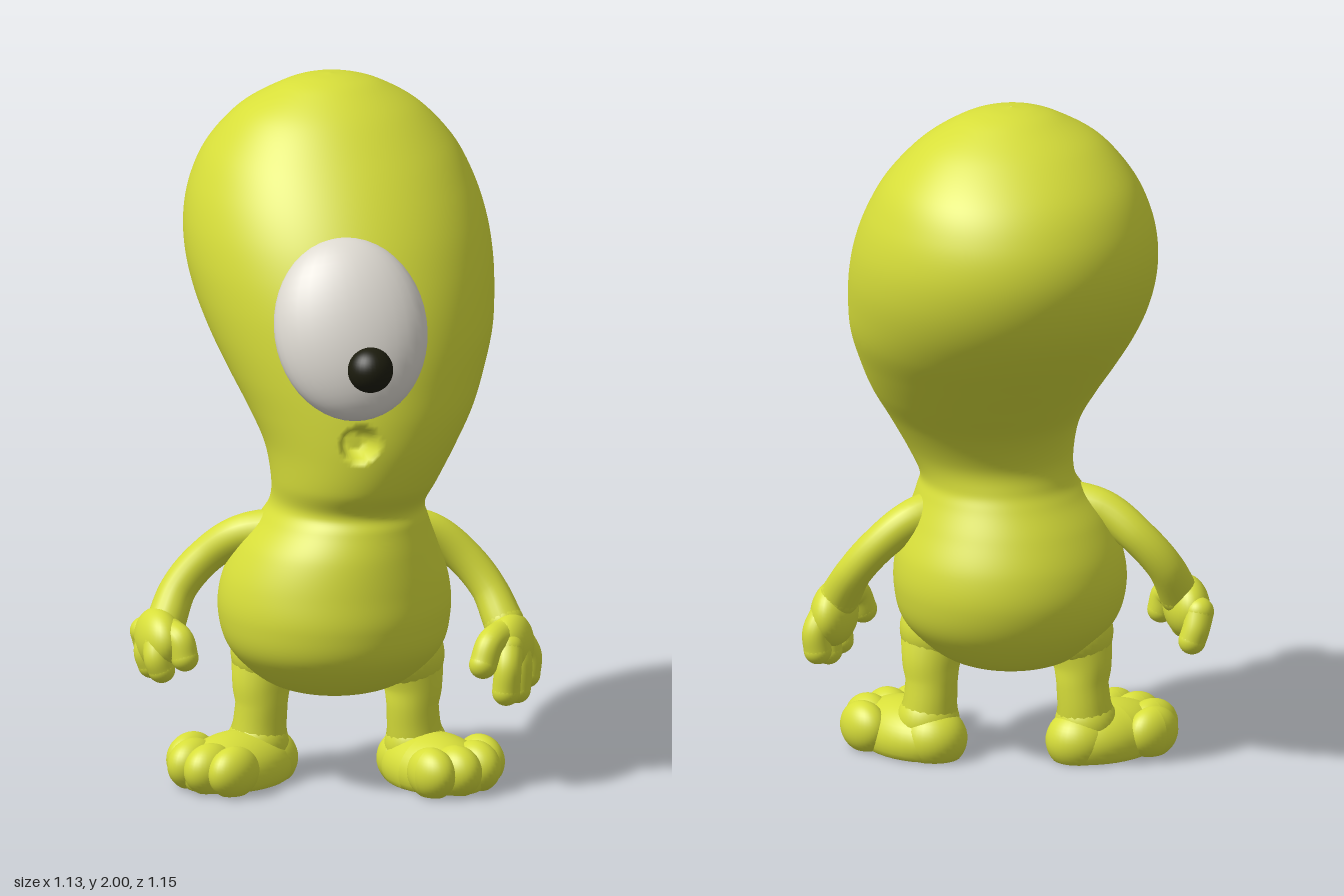
import * as THREE from 'three';

const V = (x, y, z) => new THREE.Vector3(x, y, z);

export function createModel() {
  const model = new THREE.Group();
  const skin = new THREE.MeshStandardMaterial({ color: 0xd7de3a });
  skin.name = 'yellow green skin';
  const white = new THREE.MeshStandardMaterial({ color: 0xdedad2 });
  white.name = 'eye white';
  const black = new THREE.MeshStandardMaterial({ color: 0x1c1c0e });
  black.name = 'pupil black';

  const add = (parent, name, geometry, material = skin) => {
    const mesh = new THREE.Mesh(geometry, material);
    mesh.name = name;
    parent.add(mesh);
    return mesh;
  };

  // Ellipsoid, optionally flattened where it would pass below the floor
  const ellipsoid = (x, y, z, rx, ry, rz, floor = false) => {
    const g = new THREE.SphereGeometry(1, 32, 24).scale(rx, ry, rz).translate(x, y, z);
    if (floor) {
      const p = g.attributes.position;
      for (let i = 0; i < p.count; i++) p.setY(i, Math.max(0, p.getY(i)));
      g.computeVertexNormals();
    }
    return g;
  };

  // Limb through [x, y, z, radius] points, with round ends
  const limb = (parent, name, points) => {
    const group = new THREE.Group();
    group.name = name;
    parent.add(group);
    const curve = new THREE.CatmullRomCurve3(points.map(([x, y, z]) => V(x, y, z)));
    const seg = 28, sides = 20, n = points.length - 1;
    const g = new THREE.TubeGeometry(curve, seg, 1, sides);
    const p = g.attributes.position, v = V(0, 0, 0);
    for (let i = 0; i < p.count; i++) {
      const u = Math.floor(i / (sides + 1)) / seg;
      const t = curve.getUtoTmapping(u) * n, k = Math.min(Math.floor(t), n - 1);
      const r = THREE.MathUtils.lerp(points[k][3], points[k + 1][3], t - k);
      const c = curve.getPointAt(u);
      v.fromBufferAttribute(p, i).sub(c).multiplyScalar(r).add(c);
      p.setXYZ(i, v.x, v.y, v.z);
    }
    add(group, name + 'Shaft', g);
    for (const [x, y, z, r] of [points[0], points[n]]) add(group, name + 'End', ellipsoid(x, y, z, r, r, r));
  };

  // Head and body: one loft of level ellipses, [y, xMin, xMax, zMin, zMax]
  const rows = [
    [0.262, -0.011, -0.009, 0.129, 0.131], [0.272, -0.11, 0.09, 0.03, 0.23],
    [0.31, -0.215, 0.195, -0.075, 0.345], [0.4, -0.31, 0.29, -0.16, 0.44],
    [0.5, -0.34, 0.32, -0.197, 0.465], [0.6, -0.33, 0.315, -0.19, 0.457],
    [0.7, -0.285, 0.28, -0.15, 0.44], [0.78, -0.225, 0.25, -0.105, 0.415],
    [0.83, -0.197, 0.24, -0.082, 0.4], [0.9, -0.2, 0.268, -0.077, 0.442],
    [1.0, -0.215, 0.325, -0.128, 0.467], [1.1, -0.25, 0.388, -0.225, 0.472],
    [1.2, -0.29, 0.437, -0.33, 0.463], [1.3, -0.325, 0.477, -0.432, 0.447],
    [1.4, -0.35, 0.497, -0.513, 0.422], [1.5, -0.362, 0.505, -0.56, 0.384],
    [1.6, -0.357, 0.497, -0.575, 0.334], [1.7, -0.332, 0.47, -0.555, 0.268],
    [1.8, -0.283, 0.42, -0.497, 0.186], [1.9, -0.198, 0.327, -0.388, 0.087],
    [1.965, -0.09, 0.22, -0.28, -0.005], [1.991, -0.015, 0.14, -0.212, -0.068],
    [2.0, 0.061, 0.063, -0.141, -0.139],
  ];
  const spline = (points) => new THREE.CatmullRomCurve3(points, false, 'catmullrom', 0.5);
  const centres = spline(rows.map(([y, a, b, c, d]) => V((a + b) / 2, y, (c + d) / 2)));
  const halves = spline(rows.map(([y, a, b, c, d]) => V((b - a) / 2, y, (d - c) / 2)));
  const around = 160, up = 176, position = [], index = [];
  for (let i = 0; i <= up; i++) {
    const c = centres.getPoint(i / up), h = halves.getPoint(i / up);
    for (let j = 0; j < around; j++) {
      const a = (j / around) * Math.PI * 2;
      const x = c.x + h.x * Math.cos(a);
      let z = c.z + h.z * Math.sin(a);
      // Round mouth hollow
      if (z > c.z) z -= 0.07 * (1 - THREE.MathUtils.smoothstep(Math.hypot(x + 0.03, c.y - 1.055), 0.03, 0.053));
      position.push(x, c.y, z);
      if (i < up) {
        const k = i * around, n = (j + 1) % around;
        index.push(k + j, k + around + j, k + n, k + n, k + around + j, k + around + n);
      }
    }
  }
  const bodyGeometry = new THREE.BufferGeometry();
  bodyGeometry.setAttribute('position', new THREE.Float32BufferAttribute(position, 3));
  bodyGeometry.setIndex(index);
  bodyGeometry.computeVertexNormals();
  add(model, 'headAndBody', bodyGeometry);

  // Single eye, leaning back with the face
  const eye = add(model, 'eyeball', ellipsoid(0, 0, 0, 0.218, 0.263, 0.12), white);
  eye.position.set(-0.034, 1.377, 0.37);
  eye.rotation.set(-0.32, -0.23, 0.12, 'YXZ');
  add(model, 'pupil', ellipsoid(-0.019, 1.289, 0.51, 0.065, 0.065, 0.065), black);

  // Legs and feet: ankle position, heading and mirror side
  for (const [name, x, z, yaw, side] of [['left', 0.22, 0.175, 0.35, 1], ['right', -0.207, 0.035, -1.06, -1]]) {
    limb(model, name + 'Leg', [
      [x, 0.1, z, 0.09], [x * 0.97, 0.16, z, 0.076], [x * 0.95, 0.22, z + 0.003, 0.074],
      [x * 0.95, 0.28, z + 0.005, 0.084], [x * 0.86, 0.37, z + 0.01, 0.108],
    ]);
    const foot = new THREE.Group();
    foot.name = name + 'Foot';
    foot.position.set(x, 0, z);
    foot.rotation.y = yaw;
    model.add(foot);
    add(foot, 'heel', ellipsoid(0, 0.055, -0.025, 0.096, 0.09, 0.1, true));
    add(foot, 'instep', ellipsoid(0.005 * side, 0.045, 0.08, 0.128, 0.104, 0.19, true));
    for (const [tx, tz, r] of [[-0.092, 0.195, 0.06], [-0.018, 0.215, 0.064], [0.062, 0.2, 0.062], [0.118, 0.148, 0.058]])
      add(foot, 'toe', ellipsoid(tx * side, 0.066, tz, r, 0.074, 0.085, true));
  }

  // Left arm and hand
  limb(model, 'leftArm', [
    [0.18, 0.735, 0.15, 0.065], [0.28, 0.705, 0.15, 0.056], [0.365, 0.635, 0.17, 0.052],
    [0.425, 0.55, 0.21, 0.051], [0.452, 0.46, 0.27, 0.058],
  ]);
  const leftHand = new THREE.Group();
  leftHand.name = 'leftHand';
  model.add(leftHand);
  const palm = add(leftHand, 'palm', ellipsoid(0, 0, 0, 0.064, 0.095, 0.105));
  palm.position.set(0.46, 0.4, 0.305);
  palm.rotation.y = -0.6;
  limb(leftHand, 'thumb', [[0.43, 0.44, 0.33, 0.045], [0.375, 0.43, 0.385, 0.04], [0.35, 0.375, 0.4, 0.04]]);
  for (const [x, y, z] of [[0.42, 0.29, 0.395], [0.47, 0.28, 0.335], [0.52, 0.305, 0.265]])
    limb(leftHand, 'finger', [[x * 0.6 + 0.184, 0.41, z * 0.7 + 0.09, 0.042], [x + 0.005, 0.36, z, 0.039], [x, y, z, 0.04]]);

  // Right arm and hand
  limb(model, 'rightArm', [
    [-0.16, 0.74, 0.11, 0.065], [-0.265, 0.72, 0.055, 0.056], [-0.35, 0.65, 0.0, 0.052],
    [-0.425, 0.56, -0.015, 0.052], [-0.475, 0.465, 0.015, 0.057],
  ]);
  const rightHand = new THREE.Group();
  rightHand.name = 'rightHand';
  model.add(rightHand);
  add(rightHand, 'palm', ellipsoid(-0.5, 0.425, 0.03, 0.064, 0.09, 0.11));
  limb(rightHand, 'thumb', [[-0.48, 0.45, 0.075, 0.045], [-0.462, 0.438, 0.115, 0.04], [-0.452, 0.39, 0.128, 0.039]]);
  for (const [x, y, z] of [[-0.49, 0.35, -0.068], [-0.515, 0.348, 0.012], [-0.51, 0.352, 0.092]])
    limb(rightHand, 'finger', [[-0.515, 0.43, z * 0.8, 0.042], [x - 0.012, 0.385, z, 0.039], [x, y, z, 0.039]]);

  return model;
}
